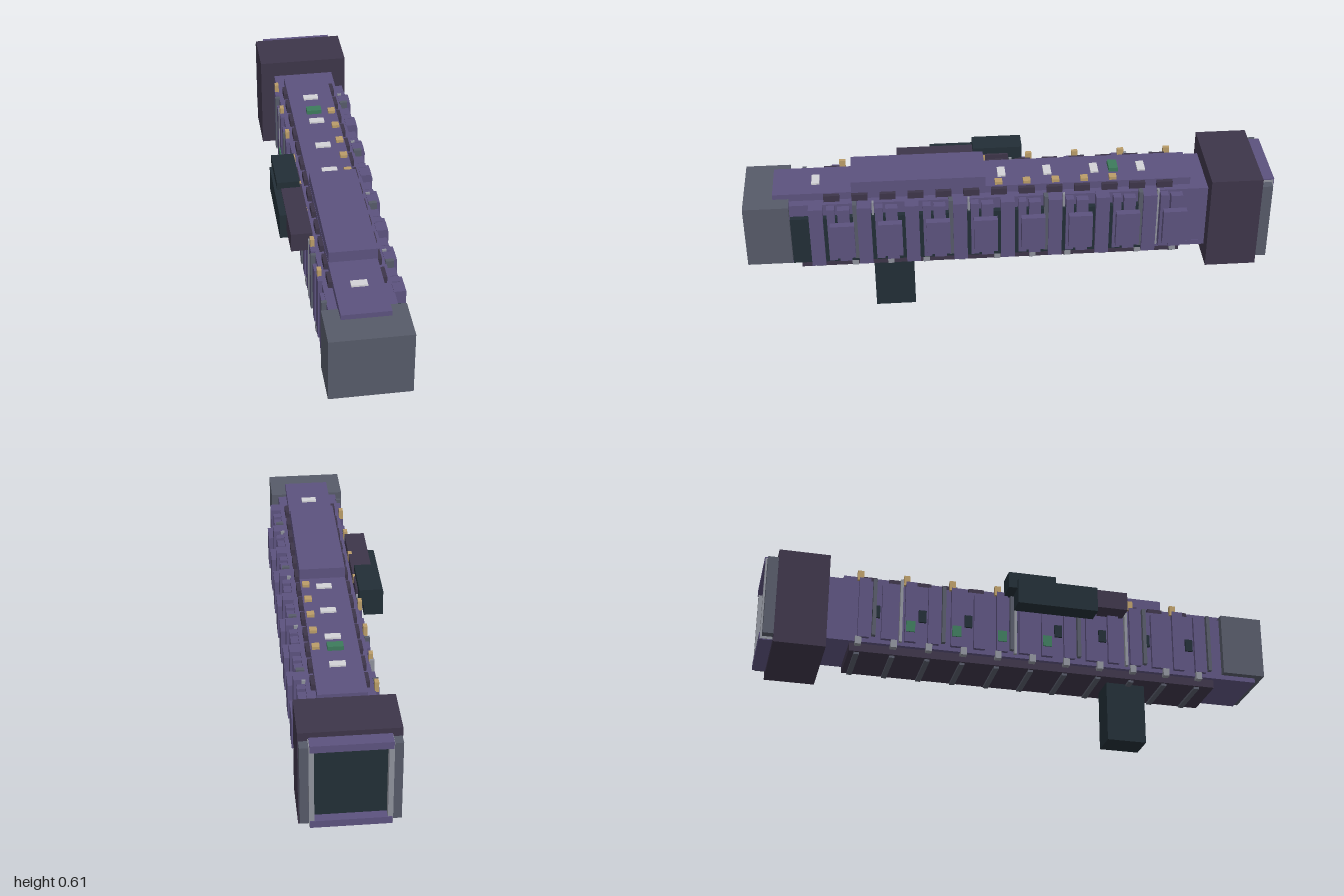
import * as THREE from 'three';

const mat = (name, color) => {
  const m = new THREE.MeshStandardMaterial({ color });
  m.name = name;
  return m;
};

export function createModel() {
  const model = new THREE.Group();
  model.name = 'capitalShip';
  const purple = mat('hullPurple', 0x5c527e);
  const plum = mat('darkPlum', 0x3d3549);
  const slate = mat('slateGrey', 0x565a68);
  const teal = mat('darkTeal', 0x222e36);
  const silver = mat('silver', 0x8e919b);
  const gold = mat('gold', 0xb99c68);
  const green = mat('green', 0x3d7a5c);
  const white = mat('white', 0xd2d2d6);

  // Box given by its limits on each axis
  const box = (name, material, x0, x1, y0, y1, z0, z1) => {
    const mesh = new THREE.Mesh(new THREE.BoxGeometry(x1 - x0, y1 - y0, z1 - z0), material);
    mesh.position.set((x0 + x1) / 2, (y0 + y1) / 2, (z0 + z1) / 2);
    mesh.name = name;
    model.add(mesh);
    return mesh;
  };

  // Main masses
  box('hull', purple, -0.1, 0.143, 0.283, 0.535, -0.76, 0.84);
  box('nose', slate, -0.126, 0.171, 0.293, 0.545, 0.83, 1);
  box('sternBlock', plum, -0.155, 0.2, 0.212, 0.598, -0.95, -0.755);
  box('deck', purple, -0.067, 0.11, 0.53, 0.565, -0.69, 0.89);
  box('raisedDeck', purple, -0.066, 0.111, 0.56, 0.608, 0.09, 0.595);
  box('bellyPlate', purple, -0.1, 0.145, 0.274, 0.294, -0.755, 0.97);
  box('keel', plum, -0.083, 0.127, 0.241, 0.276, -0.66, 0.8);
  box('lowerFin', teal, -0.031, 0.077, 0, 0.245, 0.37, 0.525);

  // Stern engine opening and its frame
  box('enginePanel', teal, -0.105, 0.15, 0.25, 0.56, -0.965, -0.945);
  box('frameTop', purple, -0.12, 0.163, 0.55, 0.578, -1, -0.945);
  box('frameBottom', purple, -0.12, 0.163, 0.232, 0.26, -1, -0.945);
  box('frameSideRight', slate, -0.153, -0.122, 0.245, 0.565, -0.99, -0.945);
  box('frameSideLeft', slate, 0.166, 0.197, 0.245, 0.565, -0.99, -0.945);
  for (const x of [-0.122, 0.148])
    box('framePost', silver, x, x + 0.018, 0.235, 0.573, -0.997, -0.945);

  // Keel cross strips and side clamps
  for (let i = 0; i < 11; i++) {
    const z = 0.73 - i * 0.136;
    box('keelStrip', slate, -0.075, 0.119, 0.232, 0.243, z - 0.01, z + 0.01);
    for (const s of [-1, 1]) {
      const x = 0.022 + s * 0.122;
      box('clamp', silver, x - 0.012, x + 0.012, 0.26, 0.291, z - 0.012, z + 0.012);
    }
  }

  // Left flank: dark belt, ribs, raised armour plates
  box('sideBelt', teal, 0.14, 0.165, 0.288, 0.487, -0.545, 0.828);
  for (let i = 0; i < 8; i++) {
    const z = 0.635 - i * 0.18;
    box('armourPlate', purple, 0.172, 0.2, 0.325, 0.47, z - 0.045, z + 0.045);
    box('armourBack', purple, 0.14, 0.173, 0.292, 0.525, z - 0.03, z + 0.015);
    box('wideRib', purple, 0.14, 0.183, 0.283, 0.538, z + 0.07, z + 0.122);
    box('narrowRib', purple, 0.14, 0.174, 0.298, 0.53, z + 0.025, z + 0.055);
    if (i % 3 !== 1)
      box('flankPanel', purple, 0.14, 0.169, 0.3, 0.515, z - 0.1, z - 0.062);
    if (i % 2 === 0)
      box('flankPost', slate, 0.14, 0.17, 0.3, 0.545, z - 0.058, z - 0.042);
    else
      box('flankPipe', silver, 0.14, 0.155, 0.29, 0.542, z + 0.058, z + 0.066);
  }

  // Right flank: alternating ribs, posts, and small boxes
  for (let i = 0; i < 16; i++) {
    const z = 0.74 - i * 0.09;
    const h = [0.53, 0.545, 0.52, 0.54][i % 4];
    box('rightRib', purple, -0.114, -0.098, 0.29, h, z - 0.024, z + 0.02);
    if (i % 3 === 0)
      box('rightPost', slate, -0.118, -0.098, 0.3, 0.54, z + 0.03, z + 0.044);
    if (i % 5 === 3)
      box('rightPipe', silver, -0.116, -0.098, 0.285, 0.55, z - 0.045, z - 0.034);
    if (i % 2 === 0)
      box('rightPort', teal, -0.108, -0.098, 0.38, 0.43, z - 0.06, z - 0.03);
    if (i >= 7 && i <= 13 && i % 2 === 1)
      box('greenUnit', green, -0.119, -0.1, 0.33, 0.375, z - 0.02, z + 0.015);
  }

  // Shoulder blocks beside the deck
  for (let i = 0; i < 13; i++) {
    const z = 0.67 - i * 0.105;
    box('shoulderRight', plum, -0.082, -0.062, 0.53, 0.561, z - 0.03, z + 0.03);
    box('shoulderLeft', plum, 0.105, 0.126, 0.53, 0.561, z - 0.03, z + 0.03);
  }
  for (let i = 0; i < 8; i++) {
    const z = 0.63 - i * 0.18;
    box('shoulderLight', gold, -0.112, -0.097, 0.53, 0.57, z - 0.012, z + 0.012);
  }

  // Deck details
  for (const z of [0.73, 0.025, -0.15, -0.33, -0.51])
    box('deckMark', white, -0.008, 0.051, 0.564, 0.572, z - 0.015, z + 0.015);
  for (const z of [0.04, -0.067, -0.176, -0.285, -0.394])
    box('deckLamp', gold, 0.076, 0.104, 0.564, 0.577, z - 0.014, z + 0.014);
  box('deckGreenUnit', green, -0.01, 0.049, 0.564, 0.582, -0.42, -0.385);

  // Side pod on the right
  box('podOuter', teal, -0.202, -0.128, 0.463, 0.565, -0.03, 0.29);
  box('podBody', plum, -0.177, -0.098, 0.495, 0.57, -0.01, 0.42);
  box('podCap', teal, -0.192, -0.106, 0.53, 0.596, -0.065, 0.125);

  return model;
}
